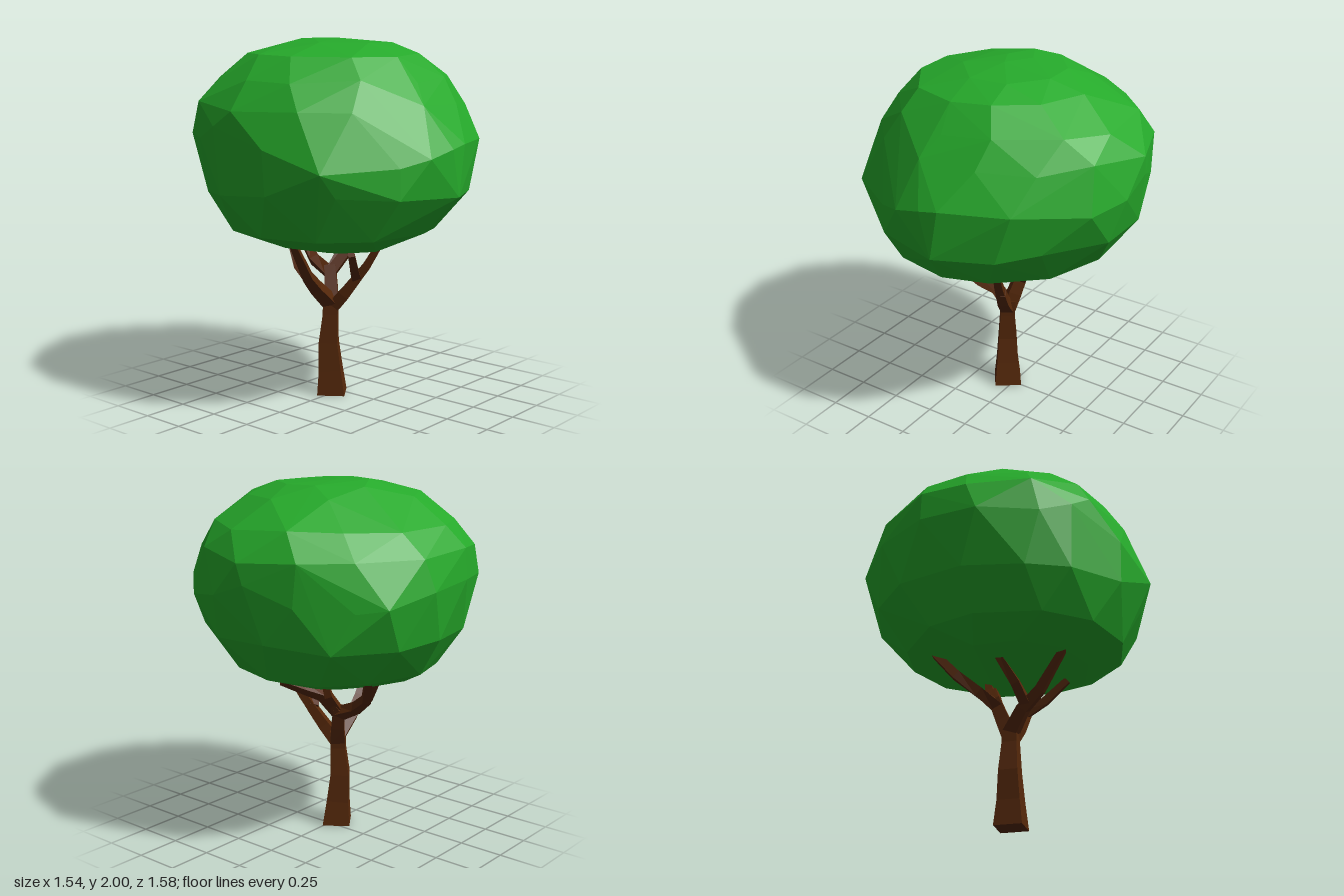
import * as THREE from 'three';
import { ConvexGeometry } from 'three/addons/geometries/ConvexGeometry.js';

const bark = new THREE.MeshStandardMaterial({ color: 0x55280a, flatShading: true });
const leaves = new THREE.MeshStandardMaterial({ color: 0x26aa2b, flatShading: true });

// Small seeded generator for the irregular facets, range -1..1
let seed = 7;
function jitter() {
  seed = (seed * 16807) % 2147483647;
  return (seed / 2147483647) * 2 - 1;
}

// Four-sided limb through [x, y, z, radius] stations, capped at both ends
function limb(name, stations) {
  const pts = stations.map(s => new THREE.Vector3(s[0], s[1], s[2]));
  const pos = [], index = [], last = pts.length - 1;
  pts.forEach((p, i) => {
    const t = pts[Math.min(i + 1, last)].clone().sub(pts[Math.max(i - 1, 0)]).normalize();
    if (i === 0 && p.y === 0) t.set(0, 1, 0);
    const n = new THREE.Vector3(0, 0, 1);
    n.addScaledVector(t, -n.dot(t)).normalize();
    const b = new THREE.Vector3().crossVectors(t, n);
    for (let k = 0; k < 4; k++) {
      const a = k * Math.PI / 2 - 0.17, r = stations[i][3];
      const v = p.clone().addScaledVector(n, Math.cos(a) * r).addScaledVector(b, Math.sin(a) * r);
      pos.push(v.x, v.y, v.z);
    }
    if (i < last) {
      for (let k = 0; k < 4; k++) {
        const a = i * 4 + k, c = i * 4 + (k + 1) % 4;
        index.push(a, c, c + 4, a, c + 4, a + 4);
      }
    }
  });
  const e = last * 4;
  index.push(0, 2, 1, 0, 3, 2, e, e + 1, e + 2, e, e + 2, e + 3);
  const geo = new THREE.BufferGeometry();
  geo.setAttribute('position', new THREE.Float32BufferAttribute(pos, 3));
  geo.setIndex(index);
  const flat = geo.toNonIndexed();
  flat.computeVertexNormals();
  const mesh = new THREE.Mesh(flat, bark);
  mesh.name = name;
  return mesh;
}

// Faceted crown: hull of a widest outline and of rings above and below it
function canopy() {
  // Widest outline, [x, y, z]
  const girth = [
    [0.12, 1.48, -0.79], [0.40, 1.42, -0.71], [0.50, 1.40, -0.58], [0.67, 1.42, -0.32],
    [0.76, 1.52, -0.07], [0.765, 1.45, 0.13], [0.69, 1.42, 0.35], [0.41, 1.46, 0.65],
    [0.07, 1.46, 0.785], [-0.04, 1.44, 0.79], [-0.20, 1.40, 0.77], [-0.35, 1.36, 0.69],
    [-0.69, 1.34, 0.46], [-0.77, 1.45, 0.15], [-0.765, 1.55, -0.20], [-0.70, 1.48, -0.37],
    [-0.51, 1.48, -0.64], [-0.20, 1.50, -0.765],
  ];
  // Rings [y, xMin, xMax, zMin, zMax, points, unevenness,
  // fullness of the corners +x+z, -x+z, -x-z, +x-z]
  const rings = [
    [0.83, -0.14, 0.10, -0.10, 0.16, 5, 0, [1, 1, 1, 1]],
    [0.89, -0.45, 0.22, -0.40, 0.43, 9, 0.01, [0.94, 1, 0.97, 1]],
    [0.98, -0.66, 0.54, -0.58, 0.61, 12, 0.01, [0.91, 1.02, 0.96, 1.02]],
    [1.20, -0.765, 0.72, -0.74, 0.785, 14, 0.02, [0.92, 0.98, 0.98, 1.02]],
    [1.65, -0.76, 0.765, -0.775, 0.67, 14, 0.02, [0.99, 0.99, 1.01, 0.92]],
    [1.78, -0.67, 0.67, -0.69, 0.57, 13, 0.015, [1.01, 1.01, 0.97, 0.89]],
    [1.91, -0.53, 0.44, -0.48, 0.46, 11, 0.01, [1.02, 1.02, 0.97, 0.93]],
    [1.975, -0.27, 0.27, -0.34, 0.28, 8, 0.005, [1.1, 1.1, 1, 1]],
    [2.0, -0.10, 0.05, -0.25, 0.03, 4, 0, [1, 1, 1, 1]],
  ];
  const pts = girth.map(p => new THREE.Vector3(...p));
  rings.forEach(([y, x0, x1, z0, z1, n, uneven, corners], i) => {
    for (let k = 0; k < n; k++) {
      const a = (k + (i % 2 ? 0.5 : 0) + jitter() * 0.15) / n * Math.PI * 2;
      const c = Math.cos(a), s = Math.sin(a);
      const corner = corners[s >= 0 ? (c >= 0 ? 0 : 1) : (c < 0 ? 2 : 3)];
      const r = (1 + jitter() * 0.008) * (1 + (corner - 1) * Math.sin(2 * a) ** 2);
      pts.push(new THREE.Vector3(
        (x0 + x1) / 2 + (x1 - x0) / 2 * c * r,
        y + jitter() * uneven,
        (z0 + z1) / 2 + (z1 - z0) / 2 * s * r));
    }
  });
  const mesh = new THREE.Mesh(new ConvexGeometry(pts), leaves);
  mesh.name = 'canopy';
  return mesh;
}

export function createModel() {
  const tree = new THREE.Group();
  tree.name = 'tree';
  tree.add(canopy());

  const wood = new THREE.Group();
  wood.name = 'trunkAndBranches';
  wood.add(
    limb('trunk', [[-0.05, 0, -0.015, 0.109], [-0.055, 0.14, -0.02, 0.088], [-0.06, 0.3, -0.03, 0.074],
      [-0.055, 0.46, -0.02, 0.058], [-0.05, 0.56, -0.02, 0.06]]),
    // Back branch and its forks
    limb('backBranch', [[-0.05, 0.5, -0.02, 0.057], [-0.02, 0.6, -0.045, 0.052], [0.01, 0.72, -0.08, 0.044]]),
    limb('backFork', [[0, 0.68, -0.07, 0.044], [0.01, 0.74, -0.2, 0.038], [0.06, 0.82, -0.31, 0.034],
      [0.18, 1.0, -0.42, 0.025]]),
    limb('leftFork', [[0, 0.68, -0.07, 0.042], [0.09, 0.8, -0.02, 0.037], [0.19, 0.85, 0.03, 0.032],
      [0.31, 0.91, 0.08, 0.025]]),
    limb('innerFork', [[0, 0.69, -0.07, 0.036], [0.08, 0.8, -0.06, 0.03], [0.1, 0.88, -0.05, 0.025]]),
    // Front branch and its two forks
    limb('frontBranch', [[-0.05, 0.5, -0.01, 0.05], [-0.03, 0.58, 0.06, 0.044], [0, 0.68, 0.13, 0.037]]),
    limb('frontLeftFork', [[-0.01, 0.65, 0.11, 0.037], [0.02, 0.75, 0.18, 0.032], [0.05, 0.88, 0.25, 0.026]]),
    limb('frontRightFork', [[0, 0.68, 0.12, 0.036], [-0.1, 0.75, 0.19, 0.031], [-0.21, 0.86, 0.26, 0.025]]),
    // Right branch with an upright fork
    limb('rightBranch', [[-0.05, 0.52, -0.02, 0.054], [-0.17, 0.63, -0.03, 0.045], [-0.27, 0.71, 0, 0.037],
      [-0.43, 0.92, 0.04, 0.025]]),
    limb('uprightFork', [[-0.19, 0.65, -0.03, 0.038], [-0.21, 0.74, -0.12, 0.034], [-0.17, 0.91, -0.23, 0.025]]),
  );
  tree.add(wood);
  return tree;
}
